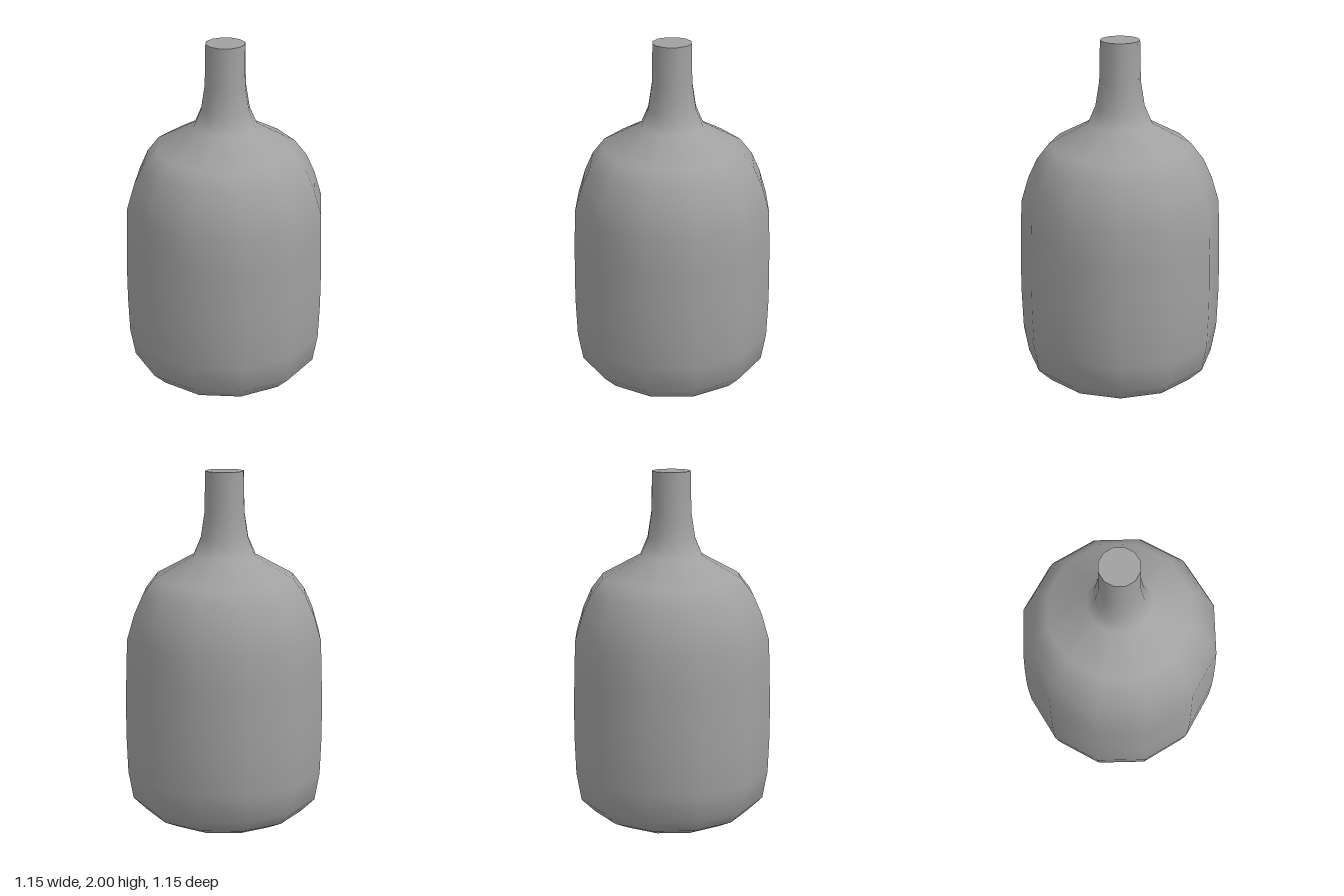
import * as THREE from 'three';

const SIDES = 12;

// Profile from base to mouth: [radius, height]
const PROFILE = [
  [0.36, 0], [0.46, 0.05], [0.54, 0.13], [0.568, 0.29], [0.575, 0.5],
  [0.575, 0.65], [0.57, 0.87], [0.562, 1.07], [0.52, 1.21], [0.47, 1.32],
  [0.4, 1.41], [0.18, 1.53], [0.137, 1.63], [0.115, 1.77], [0.11, 2],
];

export function createModel() {
  const group = new THREE.Group();
  group.name = 'bottle';
  const material = new THREE.MeshStandardMaterial({ color: 0xa0a0a0 });

  const add = (name, geometry) => {
    const mesh = new THREE.Mesh(geometry, material);
    mesh.name = name;
    group.add(mesh);
    return mesh;
  };

  // Body, shoulder and neck in one smooth twelve-sided turn
  const points = PROFILE.map(([r, y]) => new THREE.Vector2(r, y));
  add('bottleBody', new THREE.LatheGeometry(points, SIDES));

  // Flat discs closing the base and the mouth
  const [baseRadius] = PROFILE[0];
  const [mouthRadius, height] = PROFILE[PROFILE.length - 1];
  add('base', new THREE.CircleGeometry(baseRadius, SIDES)).rotation.x = Math.PI / 2;
  const mouth = add('mouth', new THREE.CircleGeometry(mouthRadius, SIDES));
  mouth.rotation.x = -Math.PI / 2;
  mouth.position.y = height;

  return group;
}
